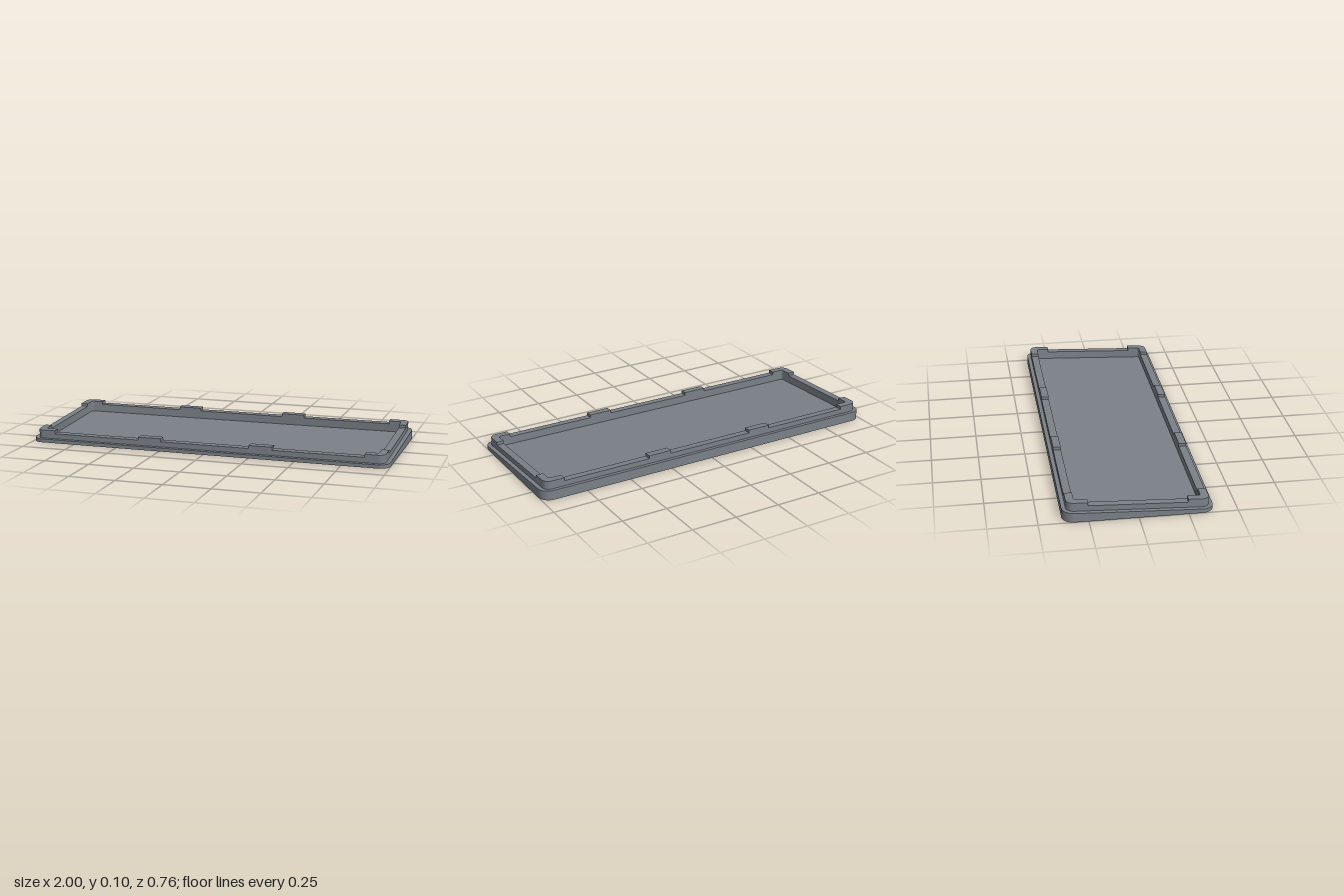
import * as THREE from 'three';
import { toCreasedNormals } from 'three/addons/utils/BufferGeometryUtils.js';

const material = new THREE.MeshStandardMaterial({ color: 0x7b8188 });

// Sloped reference plane: height of the outer step, rising to the back
const slope = z => 0.0357 - 0.0435 * z;
const LEDGE = 0, WALL = 0.0285, TAB = 0.045, FLOOR = -0.015;
const OUTER = [1, 0.38, 0.06], RIM = [0.977, 0.359, 0.038], CAVITY = [0.938, 0.318, 0.012];

// Rounded rectangle from half width, half depth and corner radius
function roundedRect([w, d, r], path = new THREE.Shape()) {
  path.moveTo(w, -d + r);
  path.lineTo(w, d - r);
  path.absarc(w - r, d - r, r, 0, Math.PI / 2);
  path.absarc(-w + r, d - r, r, Math.PI / 2, Math.PI);
  path.absarc(-w + r, -d + r, r, Math.PI, Math.PI * 1.5);
  path.absarc(w - r, -d + r, r, Math.PI * 1.5, Math.PI * 2);
  path.closePath();
  return path;
}

function ring(outer, inner) {
  const shape = roundedRect(outer);
  shape.holes.push(roundedRect(inner, new THREE.Path()));
  return shape;
}

// Extrude a plan shape upwards, then fit it between two height rules
function slab(name, shape, bottom, top) {
  let g = new THREE.ExtrudeGeometry(shape, { depth: 1, bevelEnabled: false, curveSegments: 10 });
  g.rotateX(-Math.PI / 2);
  const p = g.attributes.position;
  for (let i = 0; i < p.count; i++) {
    const z = p.getZ(i);
    p.setY(i, p.getY(i) > 0.5 ? top(z) : bottom(z));
  }
  g = toCreasedNormals(g, 0.5);
  const mesh = new THREE.Mesh(g, material);
  mesh.name = name;
  return mesh;
}

const above = h => z => slope(z) + h;

// L-shaped tab that follows the rounded rim at one corner
function cornerTab(sx, sy) {
  const [w, d, r] = RIM, [iw, id, ir] = CAVITY;
  const s = new THREE.Shape();
  s.moveTo(w, 0.25);
  s.lineTo(w, d - r);
  s.absarc(w - r, d - r, r, 0, Math.PI / 2);
  s.lineTo(0.87, d);
  s.lineTo(0.87, id);
  s.lineTo(iw - ir, id);
  s.absarc(iw - ir, id - ir, ir, Math.PI / 2, 0, true);
  s.lineTo(iw, 0.25);
  return new THREE.Shape(s.getPoints(10).map(p => new THREE.Vector2(p.x * sx, p.y * sy)));
}

// Short straight tab on a long side
function sideTab(sx, sy) {
  const x0 = 0.247, x1 = 0.377, y0 = CAVITY[1], y1 = RIM[1];
  return new THREE.Shape([[x0, y0], [x1, y0], [x1, y1], [x0, y1]]
    .map(([x, y]) => new THREE.Vector2(x * sx, y * sy)));
}

export function createModel() {
  const tray = new THREE.Group();
  tray.name = 'wedgeTray';

  // Wedge base, tray floor and inset rim wall
  tray.add(slab('base', ring(OUTER, CAVITY), () => 0, above(LEDGE)));
  tray.add(slab('floor', roundedRect(CAVITY), () => 0, above(FLOOR)));
  tray.add(slab('rimWall', ring(RIM, CAVITY), above(LEDGE), above(WALL)));

  // Raised tabs on the rim, mirrored to all four quarters
  for (const sx of [-1, 1]) {
    for (const sy of [-1, 1]) {
      const place = (sy > 0 ? 'back' : 'front') + (sx > 0 ? 'Left' : 'Right');
      tray.add(slab(place + 'CornerTab', cornerTab(sx, sy), above(WALL), above(TAB)));
      tray.add(slab(place + 'SideTab', sideTab(sx, sy), above(WALL), above(TAB)));
    }
  }
  return tray;
}
